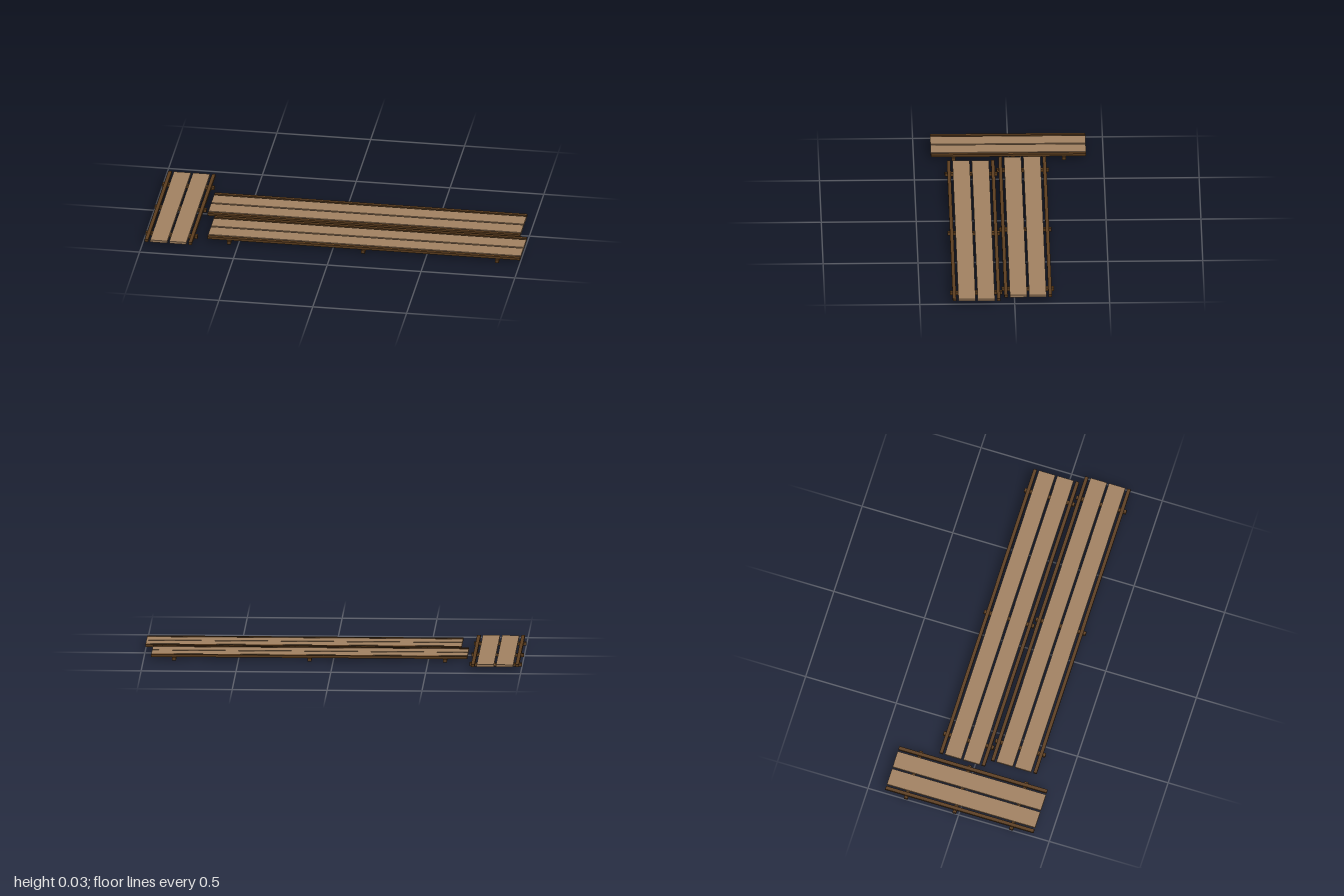
import * as THREE from 'three';

const plankWood = new THREE.MeshStandardMaterial({ color: 0xa08060 });
plankWood.name = 'light plank wood';
const frameWood = new THREE.MeshStandardMaterial({ color: 0x5c3d1e });
frameWood.name = 'dark frame wood';

const BAR_H = 0.0175; // height of the cross bars under the deck
const TOP = 0.031; // top of the deck

function addBox(parent, name, material, size, position) {
  const mesh = new THREE.Mesh(new THREE.BoxGeometry(...size), material);
  mesh.name = name;
  mesh.position.set(...position);
  parent.add(mesh);
}

// One walkway running along x: two planks between two rails, resting on cross bars
function walkway(name, length, bars) {
  const panel = new THREE.Group();
  panel.name = name;
  const deckH = TOP - BAR_H;
  for (const side of [-1, 1]) {
    addBox(panel, 'plank', plankWood, [length, deckH - 0.001, 0.0905],
      [0, BAR_H + (deckH - 0.001) / 2, side * 0.0508]);
    addBox(panel, 'edgeRail', frameWood, [length, deckH, 0.0185],
      [0, BAR_H + deckH / 2, side * 0.1165]);
  }
  for (const x of bars) {
    addBox(panel, 'crossBar', frameWood, [0.02, BAR_H, 0.277], [x, BAR_H / 2, 0]);
  }
  return panel;
}

export function createModel() {
  const model = new THREE.Group();
  model.name = 'woodenWalkways';

  // Two long walkways side by side, slightly offset
  const longBars = [-0.716, -0.002, 0.712];
  const back = walkway('backWalkway', 1.666, longBars);
  back.position.set(0.126, 0, -0.0715);
  const front = walkway('frontWalkway', 1.666, longBars);
  front.position.set(0.167, 0, 0.2005);

  // Short walkway turned across their end
  const cross = walkway('crossWalkway', 0.818, [-0.289, 0.024, 0.292]);
  cross.rotation.y = Math.PI / 2;
  cross.position.set(-0.8615, 0, 0);

  model.add(back, front, cross);
  return model;
}
